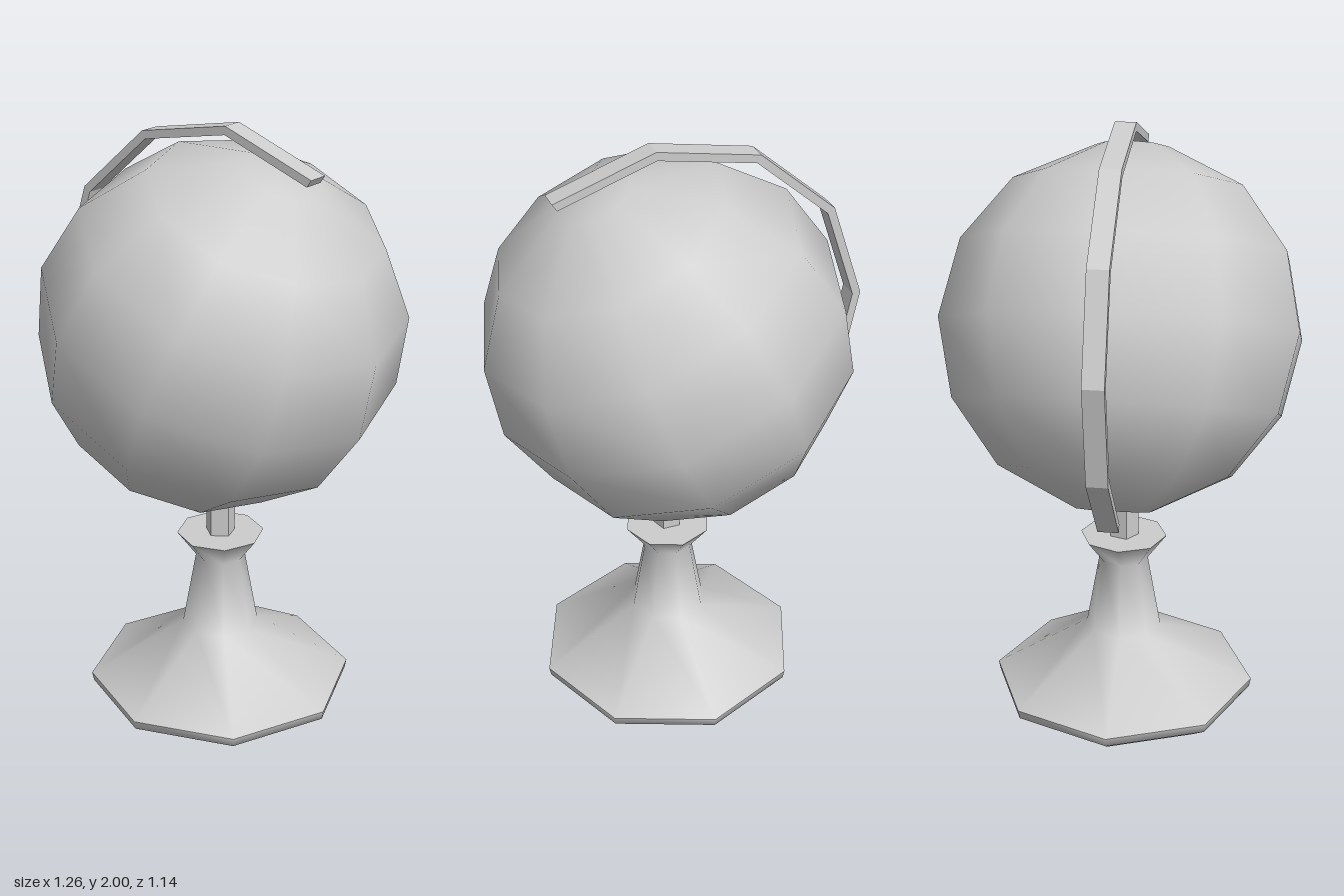
import * as THREE from 'three';

export function createModel() {
  const model = new THREE.Group();
  const grey = new THREE.MeshStandardMaterial({ color: 0xcccccc });
  grey.name = 'plain grey';
  const flatGrey = grey;

  const rad = THREE.MathUtils.degToRad;
  const v = (x, y) => new THREE.Vector2(x, y);
  const axisX = 0.03;
  const ballY = 1.335;

  const add = (name, geometry, y) => {
    const mesh = new THREE.Mesh(geometry, flatGrey);
    mesh.name = name;
    mesh.position.set(axisX, y, 0);
    model.add(mesh);
    return mesh;
  };

  // Eight-sided turned foot; repeated points make hard edges
  const foot = [
    v(0, 0), v(0.39, 0), v(0.39, 0), v(0.442, 0.035), v(0.4475, 0.065), v(0.4475, 0.065),
    v(0.128, 0.26), v(0.083, 0.515), v(0.146, 0.6), v(0.146, 0.6), v(0, 0.6),
  ];
  add('base', new THREE.LatheGeometry(foot, 8), 0);

  // Five-sided pin on top of the foot
  const pin = new THREE.CylinderGeometry(0.05, 0.05, 0.14, 5).toNonIndexed();
  pin.computeVertexNormals();
  add('pin', pin, 0.66);

  // Ten-sided smooth ball with small flat poles, tilted on its axis
  const R = 0.6;
  const rings = [-78, -50, -25, 0, 25, 50, 78].map((a) => v(R * Math.cos(rad(a)), R * Math.sin(rad(a))));
  const cap = R * Math.sin(rad(78));
  const ball = add('globe', new THREE.LatheGeometry([v(0, -cap), ...rings, v(0, cap)], 10, Math.PI / 2), ballY);
  ball.rotation.z = -rad(23.4);

  // Half-ring arm made of six straight segments
  const arc = (r) => Array.from({ length: 7 }, (_, i) => {
    const a = rad(56.3 + 30 * i);
    return v(r * Math.cos(a), r * Math.sin(a));
  });
  const armShape = new THREE.Shape([...arc(0.665), ...arc(0.637).reverse()]);
  const arm = new THREE.ExtrudeGeometry(armShape, { depth: 0.068, bevelEnabled: false });
  arm.translate(0, 0, -0.034);
  add('meridianArm', arm, ballY);

  return model;
}
